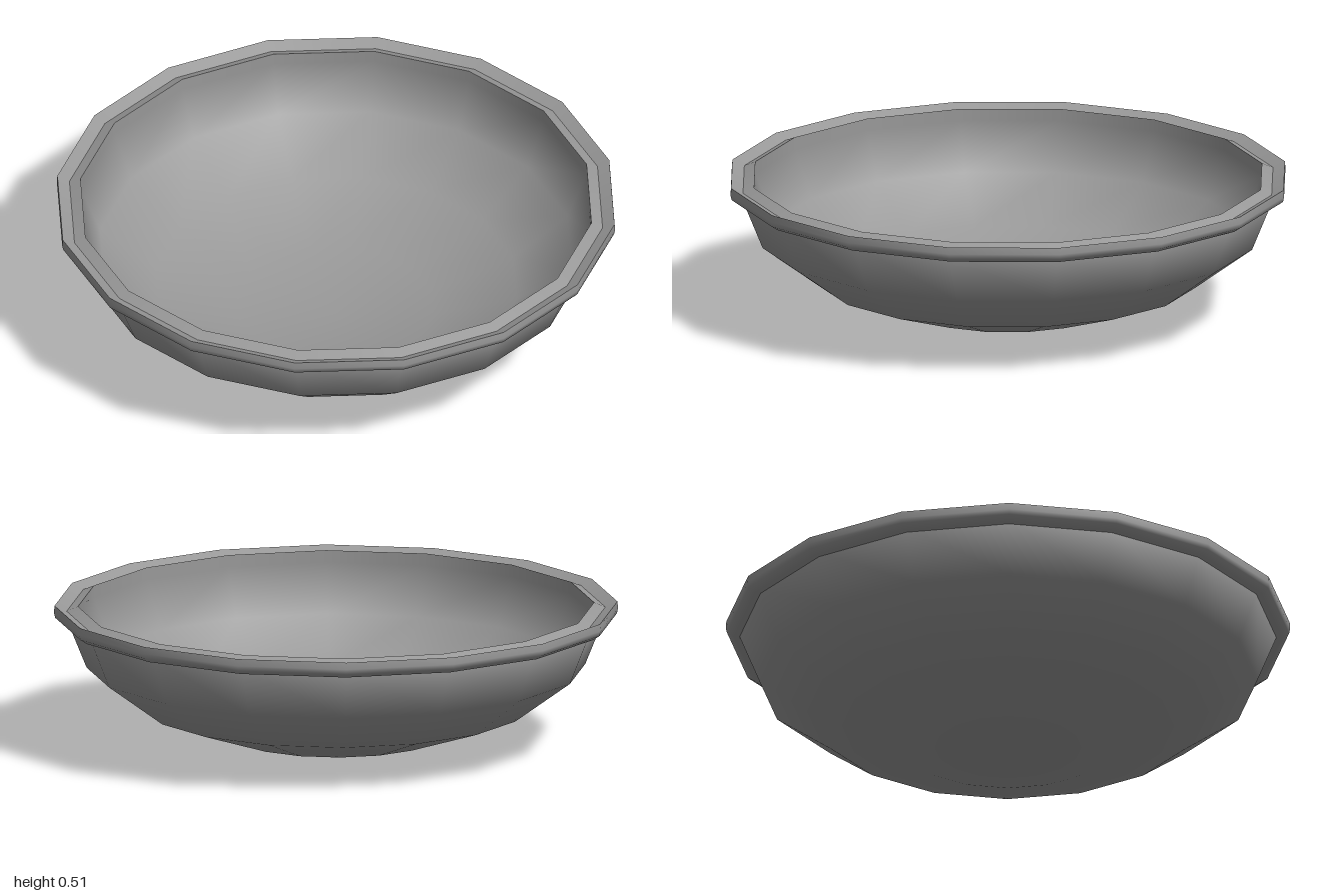
import * as THREE from 'three';

const SIDES = 16;
const material = new THREE.MeshStandardMaterial({ color: 0x999999, side: THREE.DoubleSide });

// Revolve a profile of [radius, height] points; each part keeps its own smooth normals
function ring(name, profile) {
  const points = profile.map(([r, y]) => new THREE.Vector2(r, y));
  const mesh = new THREE.Mesh(new THREE.LatheGeometry(points, SIDES), material);
  mesh.name = name;
  return mesh;
}

// Lower half of a flattened sphere whose open edge lies at the given height
function halfShell(name, radius, depth, top) {
  const geometry = new THREE.SphereGeometry(1, SIDES, 4, 0, Math.PI * 2, Math.PI / 2, Math.PI / 2);
  geometry.scale(radius, depth, radius);
  const mesh = new THREE.Mesh(geometry, material);
  mesh.position.y = top;
  mesh.name = name;
  return mesh;
}

export function createModel() {
  const model = new THREE.Group();
  model.name = 'bowl';

  // Bowl wall, outside and inside
  model.add(halfShell('outerShell', 0.957, 0.47, 0.47));
  model.add(halfShell('innerShell', 0.915, 0.449, 0.469));

  // Rolled rim that overhangs the shell
  model.add(ring('rimOutside', [[0.95, 0.455], [0.972, 0.456], [0.996, 0.472], [1, 0.49], [0.998, 0.515]]));

  // Shallow groove around the top of the rim
  model.add(ring('rimGrooveOuter', [[0.998, 0.515], [0.955, 0.495]]));
  model.add(ring('rimGrooveInner', [[0.955, 0.495], [0.915, 0.512]]));

  // Upright lip above the inside surface
  model.add(ring('innerLip', [[0.915, 0.512], [0.915, 0.469]]));

  return model;
}
